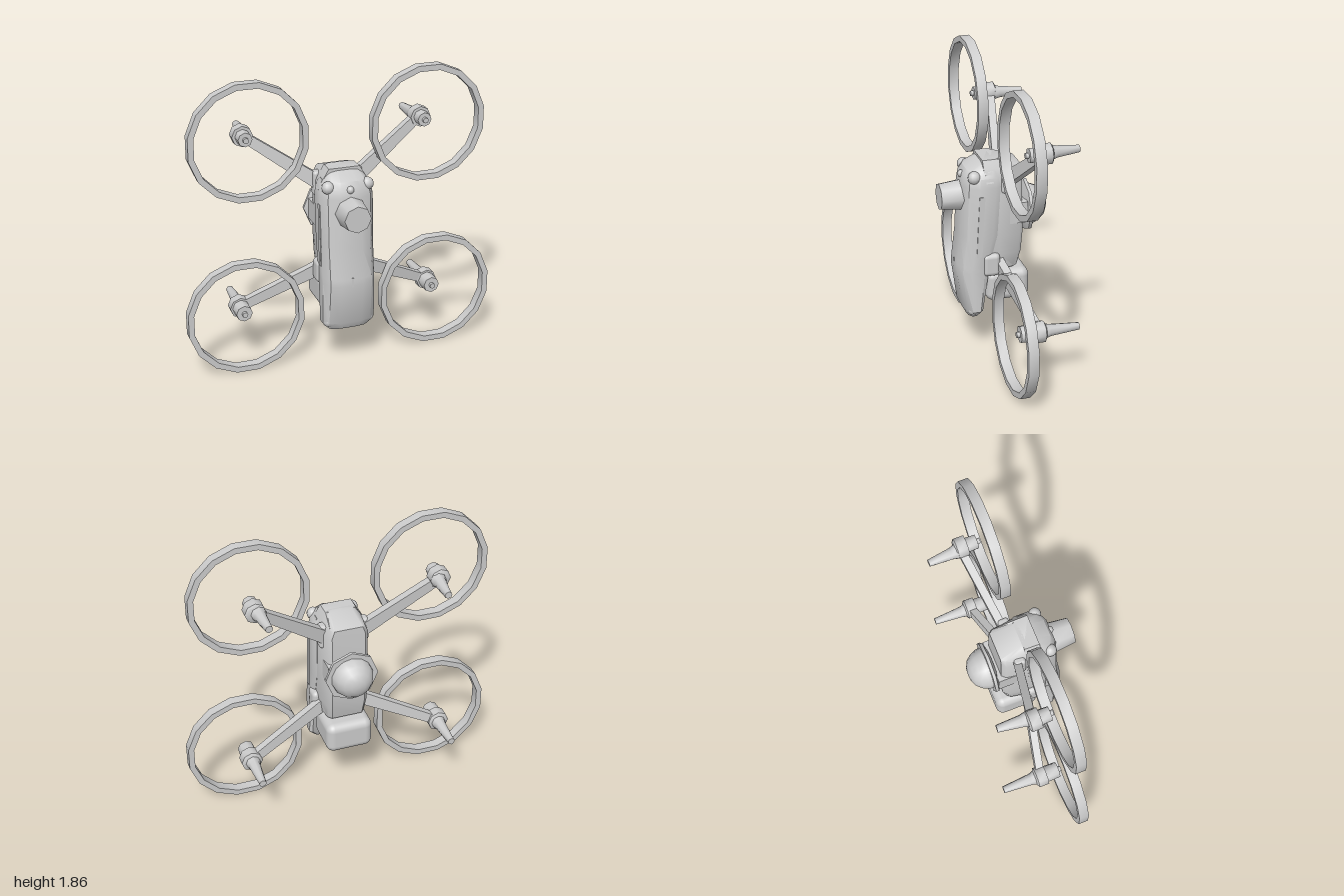
import * as THREE from 'three';
import { toCreasedNormals } from 'three/addons/utils/BufferGeometryUtils.js';
import { RoundedBoxGeometry } from 'three/addons/geometries/RoundedBoxGeometry.js';

const grey = new THREE.MeshStandardMaterial({ color: 0xcccccc });
grey.name = 'light grey plastic';

// Skin a stack of (x, z) outlines along y, closed at both ends
function loft(sections, crease) {
  const pos = [];
  const rings = sections.map(({ y, outline }) => outline.map(([x, z]) => [x, y, z]));
  const tri = (...p) => p.forEach(v => pos.push(...v));
  const n = rings[0].length;
  for (let i = 0; i < rings.length - 1; i++) {
    for (let j = 0; j < n; j++) {
      const k = (j + 1) % n;
      const a = rings[i][j], b = rings[i][k], c = rings[i + 1][j], d = rings[i + 1][k];
      tri(a, b, c);
      tri(b, d, c);
    }
  }
  const first = rings[0], last = rings[rings.length - 1];
  for (let j = 1; j < n - 1; j++) {
    tri(last[0], last[j], last[j + 1]);
    tri(first[0], first[j + 1], first[j]);
  }
  const g = new THREE.BufferGeometry();
  g.setAttribute('position', new THREE.Float32BufferAttribute(pos, 3));
  return toCreasedNormals(g, crease);
}

// Symmetric outline from its right half, front to back
const mirrored = half => [...half, ...half.map(([x, z]) => [-x, z]).reverse()];

// Turned part: profile of [radius, distance], pointing along +z or -z
function turned(profile, sides, dir) {
  const g = new THREE.LatheGeometry(profile.map(p => new THREE.Vector2(...p)), sides);
  g.rotateX(dir * Math.PI / 2);
  return toCreasedNormals(g, 0.9);
}

function ringGeometry(outer, inner, depth) {
  const circle = r => Array.from({ length: 16 }, (_, i) => {
    const a = (i + 0.5) * Math.PI / 8;
    return new THREE.Vector2(r * Math.cos(a), r * Math.sin(a));
  });
  const shape = new THREE.Shape(circle(outer));
  shape.holes.push(new THREE.Path(circle(inner).reverse()));
  return toCreasedNormals(new THREE.ExtrudeGeometry(shape, { depth, bevelEnabled: false }), 0.6);
}

export function createModel() {
  const model = new THREE.Group();
  model.name = 'drone';
  const add = (name, geometry, x = 0, y = 0, z = 0) => {
    const m = new THREE.Mesh(geometry, grey);
    m.name = name;
    m.position.set(x, y, z);
    model.add(m);
    return m;
  };
  const box = (name, w, h, d, x, y, z) => add(name, new THREE.BoxGeometry(w, h, d), x, y, z);

  // Front shell: y, half width, back z, front z
  const shell = [
    [0.262, 0.125, 0.14, 0.2], [0.31, 0.17, 0.115, 0.225], [0.58, 0.168, 0.075, 0.262],
    [0.62, 0.168, 0.07, 0.258], [0.82, 0.168, 0.02, 0.235], [1.14, 0.17, 0, 0.222],
    [1.2, 0.158, 0, 0.212], [1.24, 0.132, 0, 0.19], [1.285, 0.105, 0, 0.1], [1.3, 0.088, 0, 0.03],
  ];
  add('frontShell', loft(shell.map(([y, w, b, f]) => {
    const d = f - b;
    return { y, outline: mirrored([[w * 0.42, f], [w * 0.8, f - d * 0.13], [w, f - d * 0.4], [w, b + d * 0.15], [w * 0.9, b]]) };
  }), 0.6));

  // Rear block: y, half width, back z
  const block = [
    [0.55, 0.1, -0.02], [0.58, 0.12, -0.12], [0.68, 0.128, -0.145], [0.8, 0.13, -0.155],
    [1.2, 0.13, -0.15], [1.25, 0.11, -0.148], [1.3, 0.085, -0.01],
  ];
  add('rearBlock', loft(block.map(([y, w, b]) => ({
    y, outline: mirrored([[w * 1.17, 0.1], [w * 1.15, 0], [w, b + 0.025], [w * 0.82, b]]),
  })), 0.8));

  add('batteryPack', new RoundedBoxGeometry(0.3, 0.205, 0.28, 4, 0.05), 0, 0.458, -0.055);

  // Nose camera
  add('noseCamera', turned([[0, -0.04], [0.1, -0.04], [0.099, 0.03], [0.085, 0.15], [0, 0.15]], 8, 1), 0, 1.053, 0.2);
  add('frontSensor', new THREE.SphereGeometry(0.024, 10, 8), 0, 1.193, 0.207);
  box('frontNotch', 0.012, 0.06, 0.012, 0, 0.6, 0.256);

  // Rear dome
  box('domeMount', 0.28, 0.135, 0.15, 0, 0.945, -0.105);
  add('domeFlange', turned([[0, 0.17], [0.1, 0.17], [0.17, 0.19], [0.17, 0.21], [0, 0.21]], 8, -1), 0, 0.943, 0);
  const dome = [[0.133, 0.205], [0.13, 0.235], [0.113, 0.275], [0.085, 0.308], [0.045, 0.328], [0, 0.333]];
  add('dome', turned(dome, 14, -1), 0, 0.943, 0);

  // Tapered arm between two points
  const arm = (name, from, to, w0, w1, depth) => {
    const a = new THREE.Vector3(...from), b = new THREE.Vector3(...to);
    const len = a.distanceTo(b);
    const g = new THREE.BoxGeometry(w0, depth, len);
    const p = g.attributes.position;
    for (let i = 0; i < p.count; i++) if (p.getZ(i) > 0) p.setX(i, p.getX(i) * w1 / w0);
    const m = add(name, g);
    m.up.set(0, 0, 1);
    m.position.copy(a).add(b).multiplyScalar(0.5);
    m.lookAt(b);
  };

  // Motor, landing spike and guard ring profiles
  const upperMotor = [[0, 0.015], [0.018, 0.015], [0.018, 0.035], [0.045, 0.035], [0.047, 0.1], [0.066, 0.1], [0.066, 0.165], [0.05, 0.175], [0, 0.175]];
  const lowerMotor = [[0, -0.045], [0.018, -0.045], [0.018, -0.025], [0.052, -0.025], [0.055, 0.06], [0.068, 0.06], [0.068, 0.125], [0.05, 0.135], [0, 0.135]];
  const spike = start => turned([[0.05, start], [0.038, start + 0.04], [0.023, 0.35], [0, 0.35]], 8, -1);
  const ring = ringGeometry(0.377, 0.34, 0.064);

  for (const s of [1, -1]) {
    // Upper rotor
    add('upperGuardRing', ring, s * 0.575, 1.497, -0.027);
    add('upperMotor', turned(upperMotor, 8, -1), s * 0.578, 1.497, 0);
    add('upperSpike', spike(0.165), s * 0.572, 1.497, 0).rotation.y = s * 0.06;
    arm('upperArm', [s * 0.1, 1.155, -0.045], [s * 0.565, 1.487, -0.14], 0.09, 0.06, 0.05);
    // Lower rotor
    add('lowerGuardRing', ring, s * 0.63, 0.377, 0.022);
    add('lowerMotor', turned(lowerMotor, 8, -1), s * 0.63, 0.378, 0);
    add('lowerSpike', spike(0.125), s * 0.627, 0.378, 0);
    arm('lowerArm', [s * 0.1, 0.63, 0.01], [s * 0.62, 0.383, -0.095], 0.085, 0.06, 0.05);
    // Arm pivots on the body sides
    add('lowerArmPivot', new RoundedBoxGeometry(0.07, 0.15, 0.11, 2, 0.03), s * 0.147, 0.625, 0.06);
    add('upperArmPivot', new RoundedBoxGeometry(0.06, 0.16, 0.07, 2, 0.02), s * 0.13, 1.17, -0.04);
    // Corner sensors and side trim
    for (const [y, z] of [[1.205, 0.16], [0.315, 0.17]]) {
      add('cornerSensor', new THREE.SphereGeometry(0.04, 12, 8), s * 0.126, y, z);
    }
    box('sideVent', 0.02, 0.07, 0.045, s * 0.143, 1.2, 0.07).rotation.z = s * 0.4;
    box('sideTrim', 0.009, 0.4, 0.035, s * 0.168, 0.89, 0.13).rotation.x = -0.05;
  }
  return model;
}
